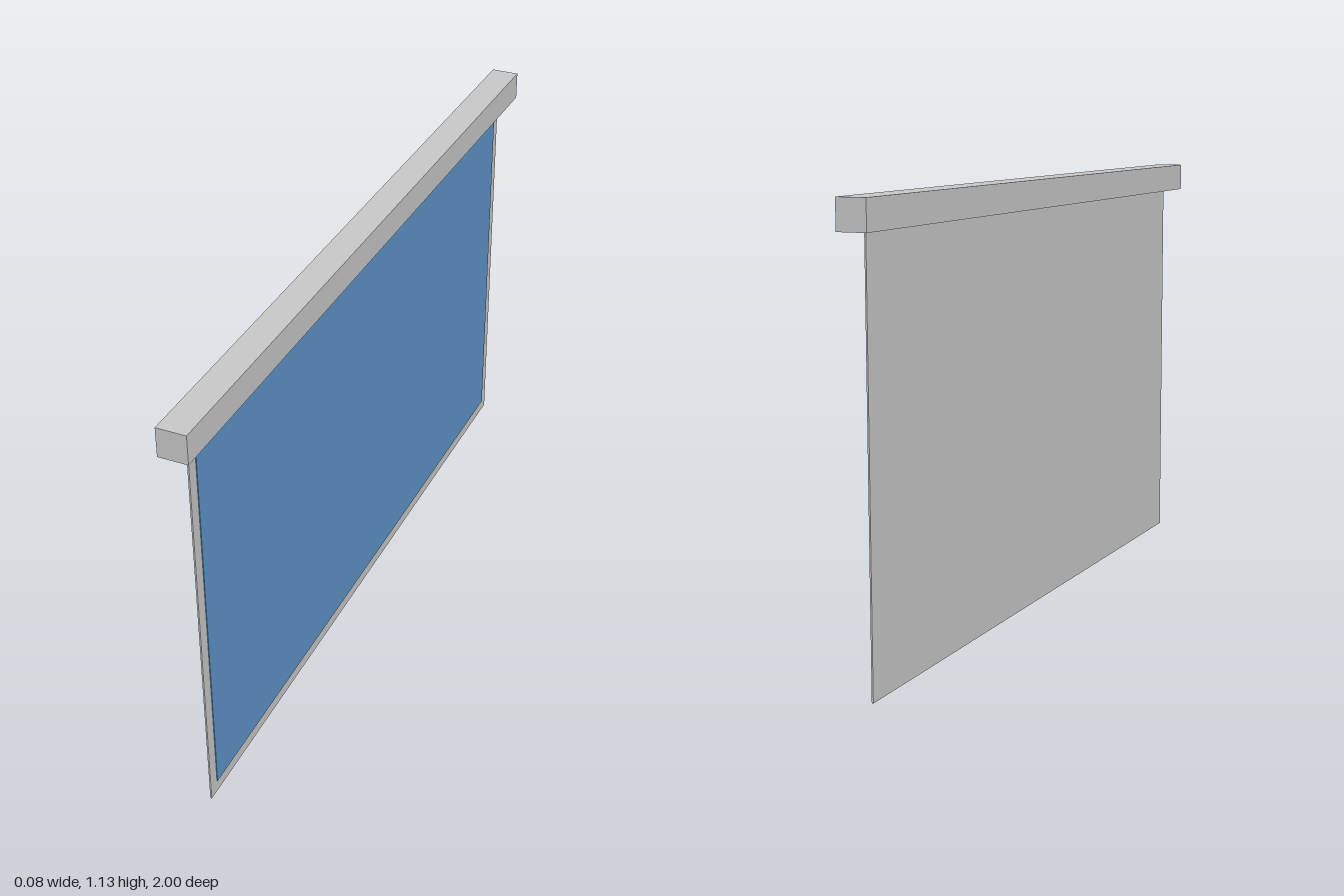
import * as THREE from 'three';

export function createModel() {
  const group = new THREE.Group();
  const grey = new THREE.MeshStandardMaterial({ color: 0xcacaca });
  grey.name = 'light grey';
  const blue = new THREE.MeshStandardMaterial({ color: 0x6096cb });
  blue.name = 'screen blue';

  // Box given by its size and centre
  const addBox = (name, material, [w, h, d], [x, y, z]) => {
    const mesh = new THREE.Mesh(new THREE.BoxGeometry(w, h, d), material);
    mesh.name = name;
    mesh.position.set(x, y, z);
    group.add(mesh);
  };

  // Long square housing that the screen hangs from
  addBox('housing', grey, [0.075, 0.075, 2], [0, 1.0975, 0]);
  // Thin hanging sheet, its border left showing around the picture
  addBox('screenSheet', grey, [0.004, 1.06, 1.88], [0, 0.53, 0]);
  // Picture area on the +x side
  addBox('pictureArea', blue, [0.002, 1, 1.82], [0.003, 0.533, 0]);

  return group;
}
